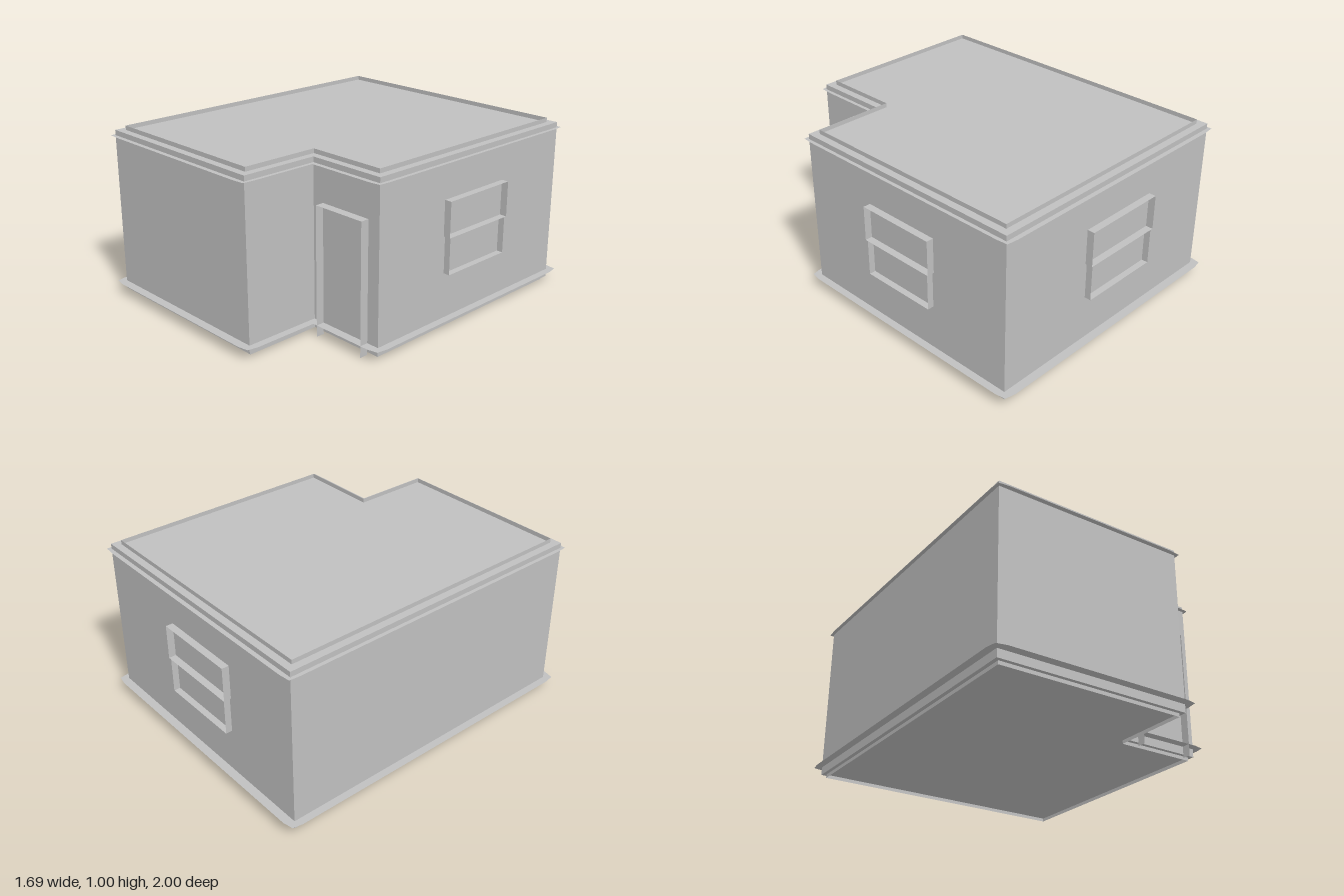
import * as THREE from 'three';

// Wall corners of the L-shaped plan: x, z and the outward direction at each
const PLAN = [
  [-0.8, -0.95, -1, -1], [0.8, -0.95, 1, -1], [0.8, 0.5, 1, 1],
  [0.33, 0.5, 1, 1], [0.33, 0.95, 1, 1], [-0.8, 0.95, -1, 1],
];
const NOTCH = 3;

const offsetPlan = (dx, dz = dx) =>
  PLAN.map(([x, z, sx, sz]) => new THREE.Vector2(x + sx * dx, z + sz * dz));

// Offset outline whose outer corners are pulled in slightly
function softPlan(dx, dz) {
  const ring = offsetPlan(dx, dz), corner = offsetPlan(dx * 0.75, dz * 0.75);
  const toward = (a, b) => a.clone().add(b.clone().sub(a).setLength(0.07));
  return ring.flatMap((p, i) => i === NOTCH ? [p] : [
    toward(p, ring[(i + 5) % 6]), corner[i], toward(p, ring[(i + 1) % 6]),
  ]);
}

const flip = (pts) => pts.map((p) => new THREE.Vector2(p.x, -p.y));

export function createModel() {
  const model = new THREE.Group();
  model.name = 'house';
  const plaster = new THREE.MeshStandardMaterial({ color: 0xc0c0c0, side: THREE.DoubleSide });
  plaster.name = 'grey plaster';

  function add(name, geometry, parent = model) {
    const mesh = new THREE.Mesh(geometry, plaster);
    mesh.name = name;
    parent.add(mesh);
    return mesh;
  }

  // Walls with floor and flat roof
  const body = new THREE.ExtrudeGeometry(new THREE.Shape(flip(offsetPlan(0))),
    { depth: 0.955, bevelEnabled: false });
  add('walls', body.rotateX(-Math.PI / 2).translate(0, 0.02, 0));

  // Thin upright rims above the roof and below the floor
  function rim(name, inset, y0, y1) {
    const group = new THREE.Group();
    group.name = name;
    const pts = offsetPlan(-inset);
    pts.forEach((a, i) => {
      const b = pts[(i + 1) % pts.length];
      const sheet = add('rimSide', new THREE.PlaneGeometry(a.distanceTo(b), y1 - y0), group);
      sheet.position.set((a.x + b.x) / 2, (y0 + y1) / 2, (a.y + b.y) / 2);
      sheet.rotation.y = -Math.atan2(b.y - a.y, b.x - a.x) + Math.PI;
    });
    model.add(group);
  }
  rim('roofRim', 0.042, 0.975, 1.0);
  rim('baseRim', 0.022, 0, 0.02);

  // Flat ledges running round the walls
  function ledge(name, dx, dz, y) {
    const shape = new THREE.Shape(flip(softPlan(dx, dz)));
    shape.holes.push(new THREE.Path(flip(offsetPlan(0))));
    add(name, new THREE.ShapeGeometry(shape).rotateX(-Math.PI / 2).translate(0, y, 0));
  }
  ledge('lowerLedge', 0.043, 0.05, 0.067);
  ledge('upperLedge', 0.021, 0.026, 0.945);

  // Projecting sheet frame: local x across the wall, z outward
  function frame(name, width, y0, y1, depth, shelves) {
    const group = new THREE.Group();
    group.name = name;
    for (const s of [-1, 1]) {
      add('jamb', new THREE.PlaneGeometry(depth, y1 - y0).rotateY(s * Math.PI / 2)
        .translate(s * width / 2, (y0 + y1) / 2, depth / 2), group);
    }
    for (const y of shelves) {
      add('rail', new THREE.PlaneGeometry(width, depth).rotateX(-Math.PI / 2)
        .translate(0, y, depth / 2), group);
    }
    model.add(group);
    return group;
  }

  frame('doorFrame', 0.325, 0, 0.743, 0.05, [0.743]).position.set(0.5625, 0, 0.5);

  // Two-part windows; the upper sash is slightly wider and deeper
  function sashWindow(name, width, x, z, turn) {
    const parts = [
      frame(name + 'UpperSash', width + 0.01, 0.54, 0.742, 0.042, [0.54, 0.742]),
      frame(name + 'LowerSash', width - 0.01, 0.328, 0.54, 0.037, [0.328]),
    ];
    for (const part of parts) {
      part.position.set(x, 0, z);
      part.rotation.y = turn;
    }
  }
  sashWindow('sideWindow', 0.465, 0.8, -0.223, Math.PI / 2);
  sashWindow('backWindow', 0.5, -0.045, -0.95, Math.PI);

  return model;
}
